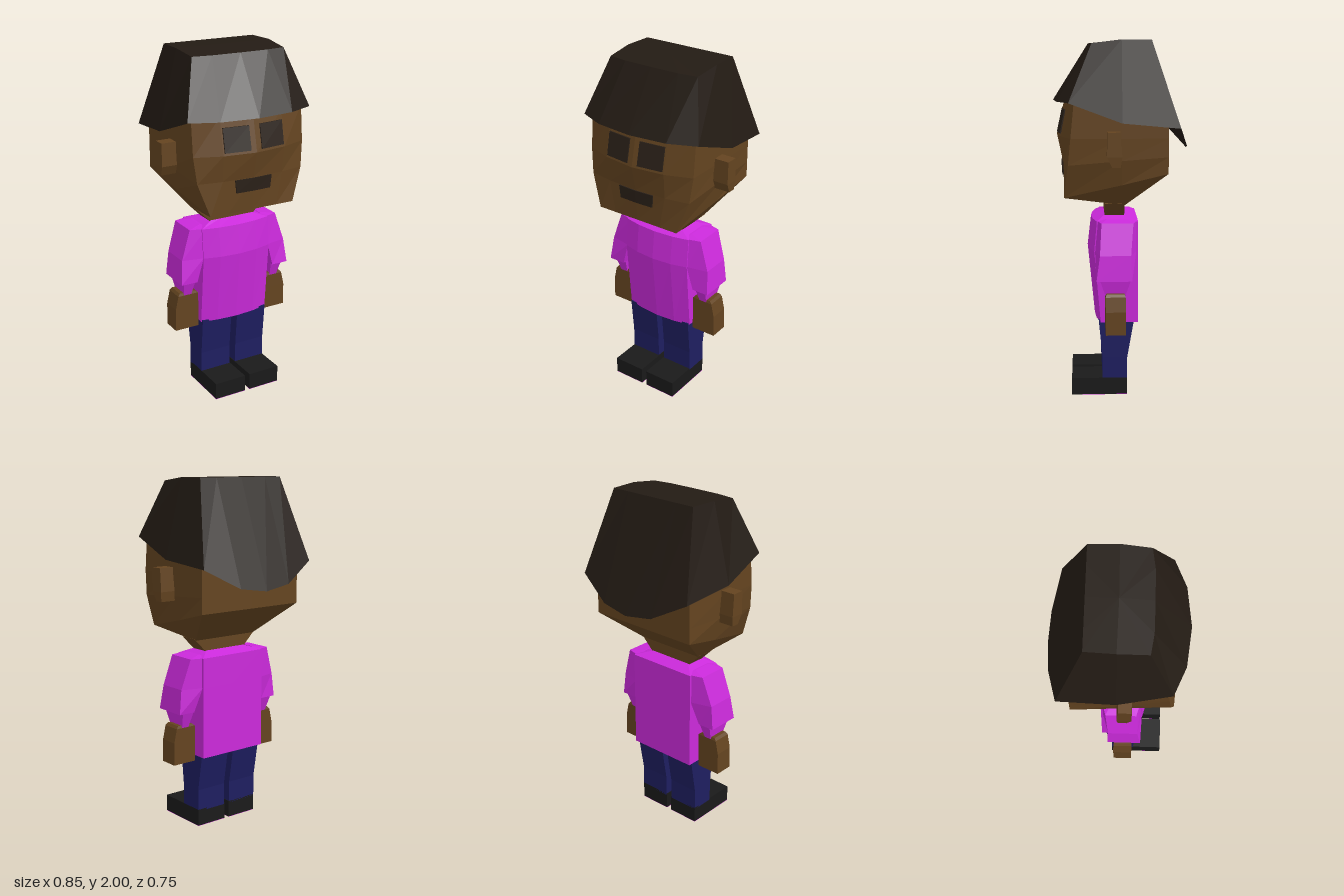
import * as THREE from 'three';

const mat = (color) => new THREE.MeshStandardMaterial({ color, flatShading: true, side: THREE.DoubleSide });

// Full ring from a half ring running front centre -> left side -> back centre.
const sym = (half) => [...half, ...half.slice(1, -1).reverse().map(([x, y, z]) => [-x, y, z])];

// Four-cornered horizontal ring; the inner edge may have its own depth.
const rect = (x0, x1, y, z0, z1, in0 = z0, in1 = z1) =>
  [[x1, y, z1], [x1, y, z0], [x0, y, in0], [x0, y, in1]];

// Flat-shaded closed skin over rings listed from top to bottom.
function loft(rings, side = 1) {
  if (side < 0) rings = rings.map((r) => r.map(([x, y, z]) => [-x, y, z]).reverse());
  const R = rings.map((r) => r.map((p) => new THREE.Vector3(...p)));
  const pos = [];
  const tri = (a, b, c) => {
    const area = b.clone().sub(a).cross(c.clone().sub(a)).length();
    if (area > 1e-7) for (const p of [a, b, c]) pos.push(p.x, p.y, p.z);
  };
  const middle = (ring, pick) => {
    const c = new THREE.Vector3();
    ring.forEach((p) => c.addScaledVector(p, 1 / ring.length));
    c.y = pick(...ring.map((p) => p.y));
    return c;
  };
  const n = R[0].length, last = R[R.length - 1];
  const top = middle(R[0], Math.max), bottom = middle(last, Math.min);
  for (let i = 0; i < n; i++) {
    const j = (i + 1) % n;
    tri(top, R[0][i], R[0][j]);
    for (let k = 0; k + 1 < R.length; k++) {
      tri(R[k][i], R[k + 1][i], R[k][j]);
      tri(R[k][j], R[k + 1][i], R[k + 1][j]);
    }
    tri(bottom, last[j], last[i]);
  }
  const g = new THREE.BufferGeometry();
  g.setAttribute('position', new THREE.Float32BufferAttribute(pos, 3));
  g.computeVertexNormals();
  return g;
}

export function createModel() {
  const model = new THREE.Group();
  const skin = mat(0x644420), hairMat = mat(0x231b14), shirt = mat(0xcb2adb);
  const denim = mat(0x1e1e60), leather = mat(0x1a1a1a), dark = mat(0x2a2018);
  const add = (name, geometry, material) => {
    const mesh = new THREE.Mesh(geometry, material);
    mesh.name = name;
    model.add(mesh);
    return mesh;
  };

  // Face rows: y, then x and z of the centre, cheek and edge columns
  const face = [
    { y: 1.68, x: [0, 0.19, 0.34], z: [0.31, 0.29, 0.255] },
    { y: 1.48, x: [0, 0.19, 0.34], z: [0.355, 0.33, 0.275] },
    { y: 1.335, x: [0, 0.185, 0.325], z: [0.325, 0.315, 0.29] },
    { y: 1.15, x: [0, 0.15, 0.26], z: [0.315, 0.315, 0.315] },
  ];
  const headRing = (row, sidePt, backY) => sym([
    ...row.x.map((x, i) => [x, row.y, row.z[i]]),
    sidePt, [0.34, backY, -0.25], [0, backY, -0.25],
  ]);
  const ridge = (x) => [x, 1.1, -0.02];
  add('head', loft([
    headRing(face[0], [0.34, 1.68, 0], 1.68),
    headRing(face[1], [0.34, 1.48, 0], 1.48),
    headRing(face[2], [0.335, 1.36, 0], 1.38),
    headRing(face[3], [0.305, 1.225, 0], 1.29),
    sym([0, 0.12, 0.21, 0.21, 0.21, 0].map(ridge)),
  ]), skin);

  // Depth of the face surface between the centre and cheek columns
  const faceZ = (x, y) => {
    let k = 0;
    while (k < 2 && y < face[k + 1].y) k++;
    const a = face[k], b = face[k + 1], t = (a.y - y) / (a.y - b.y);
    const at = (r) => THREE.MathUtils.lerp(r.z[0], r.z[1], Math.abs(x) / r.x[1]);
    return THREE.MathUtils.lerp(at(a), at(b), t);
  };
  // Thin patch lying on one half of the face
  const patch = (name, x0, x1, y0, y1, x1Low, side) => {
    const ring = (y, xo) => [[xo, y, faceZ(xo, y) + 0.007], [xo, y, faceZ(xo, y) - 0.01],
      [x0, y, faceZ(x0, y) - 0.01], [x0, y, faceZ(x0, y) + 0.007]];
    add(name, loft([ring(y1, x1), ring(y0, x1Low)], side), dark);
  };

  // Hair cap: flat crown, flared rim, underside tucked into the head
  add('hair', loft([
    sym([[0, 1.98, 0.178], [0.17, 1.98, 0.176], [0.28, 1.98, 0.16], [0.287, 2, 0],
      [0.28, 2, -0.16], [0.17, 2, -0.16], [0, 2, -0.16]]),
    sym([[0, 1.67, 0.375], [0.22, 1.67, 0.35], [0.375, 1.67, 0.285], [0.395, 1.565, 0],
      [0.375, 1.535, -0.312], [0.17, 1.425, -0.366], [0, 1.4, -0.378]]),
    sym([[0, 1.675, 0.29], [0.19, 1.675, 0.27], [0.33, 1.675, 0.24], [0.33, 1.575, 0],
      [0.33, 1.55, -0.24], [0.17, 1.55, -0.24], [0, 1.55, -0.24]]),
  ]), hairMat);

  add('neck', loft([rect(-0.22, 0.22, 1.11, -0.02, 0.09), rect(-0.13, 0.13, 1.02, -0.02, 0.09)]), skin);

  // Shirt body with a bowed front
  const torsoRing = (y, x, front, edge, back) =>
    sym([[0, y, front], [x * 0.55, y, front - (front - edge) * 0.3], [x, y, edge], [x, y, back], [0, y, back]]);
  add('shirtBody', loft([
    torsoRing(1.035, 0.135, 0.09, 0.09, -0.02),
    torsoRing(1.01, 0.215, 0.165, 0.135, -0.095),
    torsoRing(0.84, 0.215, 0.185, 0.15, -0.095),
    torsoRing(0.43, 0.215, 0.145, 0.115, -0.095),
  ]), shirt);

  for (const side of [1, -1]) {
    const pre = side > 0 ? 'left' : 'right';
    patch(pre + 'Eye', 0.033, 0.182, 1.495, 1.625, 0.182, side);
    patch(pre + 'MouthHalf', 0, 0.113, 1.26, 1.333, 0.105, side);

    add(pre + 'Ear', loft([
      rect(0.31, 0.425, 1.52, 0.01, 0.08),
      rect(0.31, 0.425, 1.39, 0.002, 0.082),
      rect(0.31, 0.42, 1.335, 0.01, 0.055),
    ], side), skin);

    add(pre + 'Sleeve', loft([
      rect(0.19, 0.2, 1.02, -0.03, 0.08),
      rect(0.19, 0.28, 1.01, -0.065, 0.11, -0.09, 0.135),
      rect(0.212, 0.335, 0.84, -0.05, 0.12, -0.085, 0.145),
      rect(0.25, 0.35, 0.7, -0.055, 0.14),
      rect(0.252, 0.325, 0.7, -0.05, 0.12),
      rect(0.265, 0.31, 0.61, -0.02, 0.09),
    ], side), shirt);

    add(pre + 'Hand', loft([
      rect(0.24, 0.335, 0.625, -0.015, 0.085),
      rect(0.22, 0.347, 0.61, -0.02, 0.09),
      rect(0.22, 0.365, 0.53, -0.02, 0.09),
      rect(0.22, 0.367, 0.4, -0.02, 0.09),
    ], side), skin);

    add(pre + 'Leg', loft([
      rect(0.02, 0.21, 0.44, -0.073, 0.126),
      rect(0.02, 0.21, 0.22, -0.035, 0.105),
      rect(0.02, 0.21, 0.09, -0.035, 0.105),
    ], side), denim);

    add(pre + 'Shoe', new THREE.BoxGeometry(0.194, 0.098, 0.315), leather)
      .position.set(side * 0.113, 0.051, 0.1225);
    add(pre + 'Sole', new THREE.BoxGeometry(0.194, 0.002, 0.315), shirt)
      .position.set(side * 0.113, 0.001, 0.1225);
  }
  return model;
}
